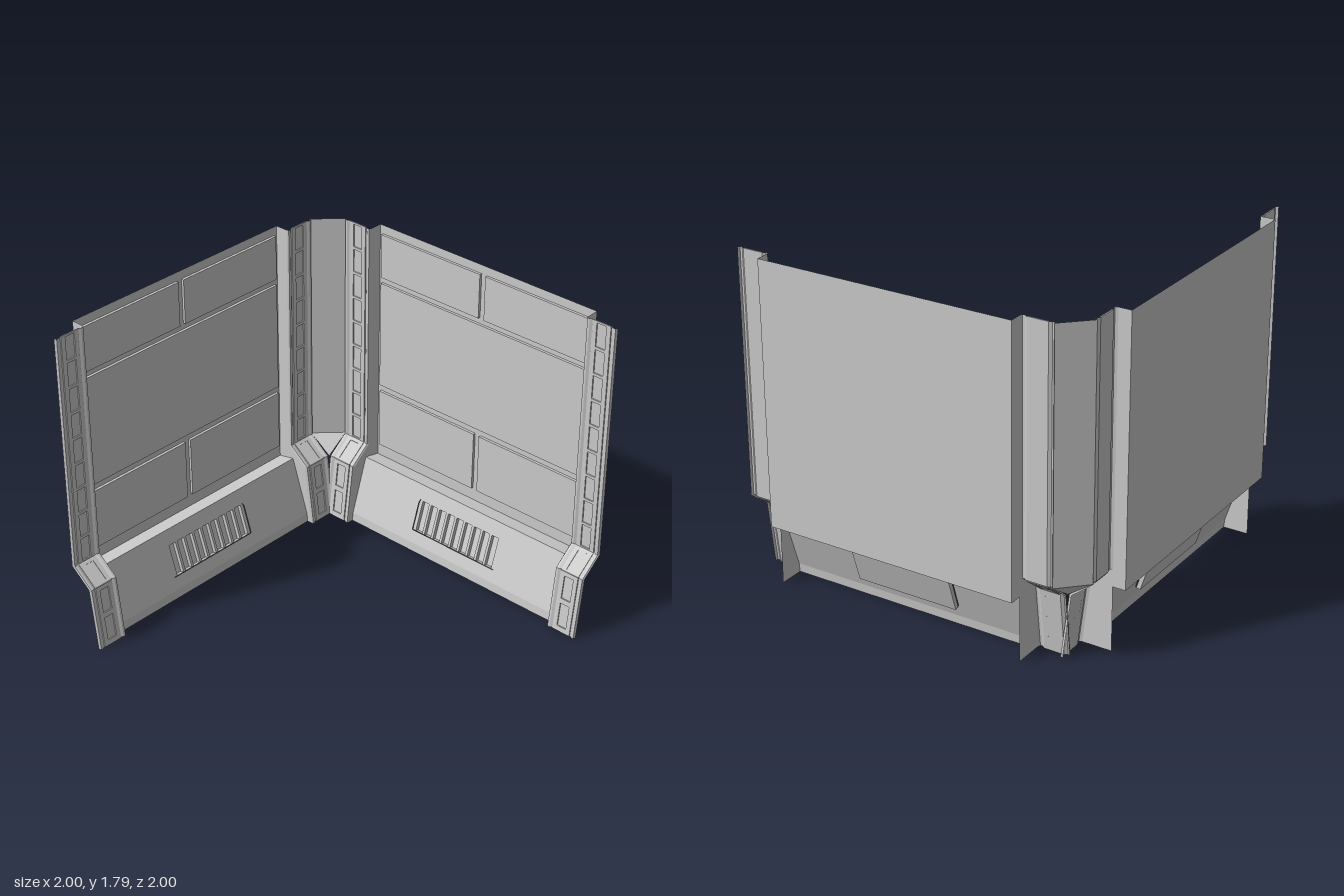
import * as THREE from 'three';

const material = new THREE.MeshStandardMaterial({ color: 0xcccccc, flatShading: true, side: THREE.DoubleSide });
const TOP = 1.785;

function add(parent, geometry, name, x = 0, y = 0, z = 0) {
  const mesh = new THREE.Mesh(geometry, material);
  mesh.name = name;
  mesh.position.set(x, y, z);
  parent.add(mesh);
  return mesh;
}

// Sheet swept down a [y, z] path; the section is a list of [x, depth offset].
function sweep(path, section) {
  const pos = [], idx = [], n = section.length;
  for (const [y, z] of path) for (const [x, d] of section) pos.push(x, y, z + d);
  for (let r = 0; r < path.length - 1; r++) {
    for (let c = 0; c < n - 1; c++) {
      const a = r * n + c;
      idx.push(a, a + n, a + 1, a + 1, a + n, a + n + 1);
    }
  }
  let g = new THREE.BufferGeometry();
  g.setAttribute('position', new THREE.Float32BufferAttribute(pos, 3));
  g.setIndex(idx);
  g = g.toNonIndexed();
  g.computeVertexNormals();
  return g;
}

// Works for both outlines and holes; c cuts the corners.
function rect(x0, x1, y0, y1, Type = THREE.Shape, c = 0) {
  const pts = c
    ? [[x0, y0], [x1, y0], [x1, y1 - c], [x1 - c * 0.3, y1 - c * 0.3], [x1 - c, y1],
      [x0 + c, y1], [x0 + c * 0.3, y1 - c * 0.3], [x0, y1 - c]]
    : [[x0, y0], [x1, y0], [x1, y1], [x0, y1]];
  return new Type(pts.map(p => new THREE.Vector2(...p)));
}

const extrude = (shape, depth) => new THREE.ExtrudeGeometry(shape, { depth, bevelEnabled: false });

// Group lying on a sloping face: origin at its foot, +y up the slope, +z outward.
function slopeGroup(parent, name, x, [y0, z0], [y1, z1]) {
  const g = new THREE.Group();
  g.name = name;
  g.position.set(x, y0, z0);
  g.rotation.x = Math.atan2(z1 - z0, y1 - y0);
  parent.add(g);
  return { g, length: Math.hypot(y1 - y0, z1 - z0) };
}

const postPath = [[TOP, -0.915], [0.45, -0.915], [0.355, -0.795], [0, -0.75]];

function addPost(parent, x) {
  const post = new THREE.Group();
  post.name = 'post';
  post.position.x = x;
  parent.add(post);
  // Ribbed sheet, kicked forward at the foot
  const half = [[-0.09, -0.015], [-0.085, 0], [-0.072, 0], [-0.057, -0.01]];
  const section = [...half, ...half.map(([u, d]) => [-u, d]).reverse()];
  add(post, sweep(postPath, section), 'postShell');
  // Perforated strip along each straight run of the post
  const slots = [
    Array.from({ length: 9 }, (_, i) => [0.008 + i * 0.148, 0.14 + i * 0.148]),
    [[0.015, 0.135]],
    [[0.03, 0.165], [0.195, 0.33]],
  ];
  slots.forEach((list, i) => {
    const { g, length } = slopeGroup(post, 'slotStrip', 0, postPath[i + 1], postPath[i]);
    const shape = rect(-0.056, 0.056, 0, length);
    for (const [a, b] of list) shape.holes.push(rect(-0.029, 0.029, a, b, THREE.Path));
    add(g, extrude(shape, 0.007), 'slotFrame', 0, 0, -0.01);
  });
}

function createWall(name) {
  const wall = new THREE.Group();
  wall.name = name;
  const W = 0.715;
  const across = [[-W, 0], [W, 0]];

  // Wall sheet with ledge, and the lip below the skirt
  add(wall, sweep([[TOP, -1], [0.353, -1], [0.374, -0.9]], across), 'wallSheet');
  add(wall, sweep([[0.05, -0.795], [0, -0.79]], across), 'skirtLip');

  // Raised panels
  const panels = [
    [-0.695, -0.018, 1.48, 1.735], [0.018, 0.695, 1.48, 1.735],
    [-0.695, 0.695, 0.815, 1.445],
    [-0.695, -0.018, 0.43, 0.775], [0.018, 0.695, 0.43, 0.775],
  ];
  for (const [x0, x1, y0, y1] of panels) {
    add(wall, extrude(rect(x0, x1, y0, y1), 0.015), 'raisedPanel', 0, 0, -1);
  }

  // Sloping skirt with a recessed vent
  const { g: skirt, length } = slopeGroup(wall, 'skirt', 0, [0.05, -0.795], [0.374, -0.9]);
  const face = rect(-W, W, 0, length);
  face.holes.push(rect(-0.29, 0.29, 0.072, 0.263, THREE.Path, 0.025));
  add(skirt, new THREE.ShapeGeometry(face), 'skirtFace');
  const vent = rect(-0.29, 0.29, 0.072, 0.263, THREE.Shape, 0.025);
  for (let i = 0; i < 9; i++) {
    const x = (i - 4) * 0.0615;
    vent.holes.push(rect(x - 0.023, x + 0.023, 0.073, 0.25, THREE.Path));
  }
  add(skirt, extrude(vent, 0.023), 'ventFins', 0, 0, -0.028);
  add(skirt, new THREE.ShapeGeometry(rect(-0.29, 0.29, 0.072, 0.263)), 'ventBack', 0, 0, -0.028);

  // Side plates closing the sheet and skirt against the posts
  const plate = new THREE.Shape([
    [-1, TOP], [-1, 0.353], [-0.93, 0.353], [-0.93, 0], [-0.765, 0],
    [-0.81, 0.355], [-0.925, 0.45], [-0.925, TOP],
  ].map(p => new THREE.Vector2(...p)));
  for (const s of [-1, 1]) {
    add(wall, new THREE.ShapeGeometry(plate), 'sidePlate', s * W).rotation.y = -Math.PI / 2;
    addPost(wall, s * 0.805);
  }
  return wall;
}

export function createModel() {
  const model = new THREE.Group();
  model.name = 'cornerWall';

  const back = createWall('backWall');
  back.position.x = 0.105;
  const side = createWall('sideWall');
  side.rotation.y = Math.PI / 2;
  side.position.z = 0.105;
  model.add(back, side);

  // Chamfered corner column with a triangular shoulder at its foot
  const a = -0.927, b = -0.79;
  const corner = new THREE.BufferGeometry();
  corner.setAttribute('position', new THREE.Float32BufferAttribute([
    a, TOP, b, a, 0.45, b, b, TOP, a,
    b, TOP, a, a, 0.45, b, b, 0.45, a,
    a, 0.45, b, b, 0.355, b, b, 0.45, a,
  ], 3));
  corner.computeVertexNormals();
  add(model, corner, 'cornerColumn');
  return model;
}
